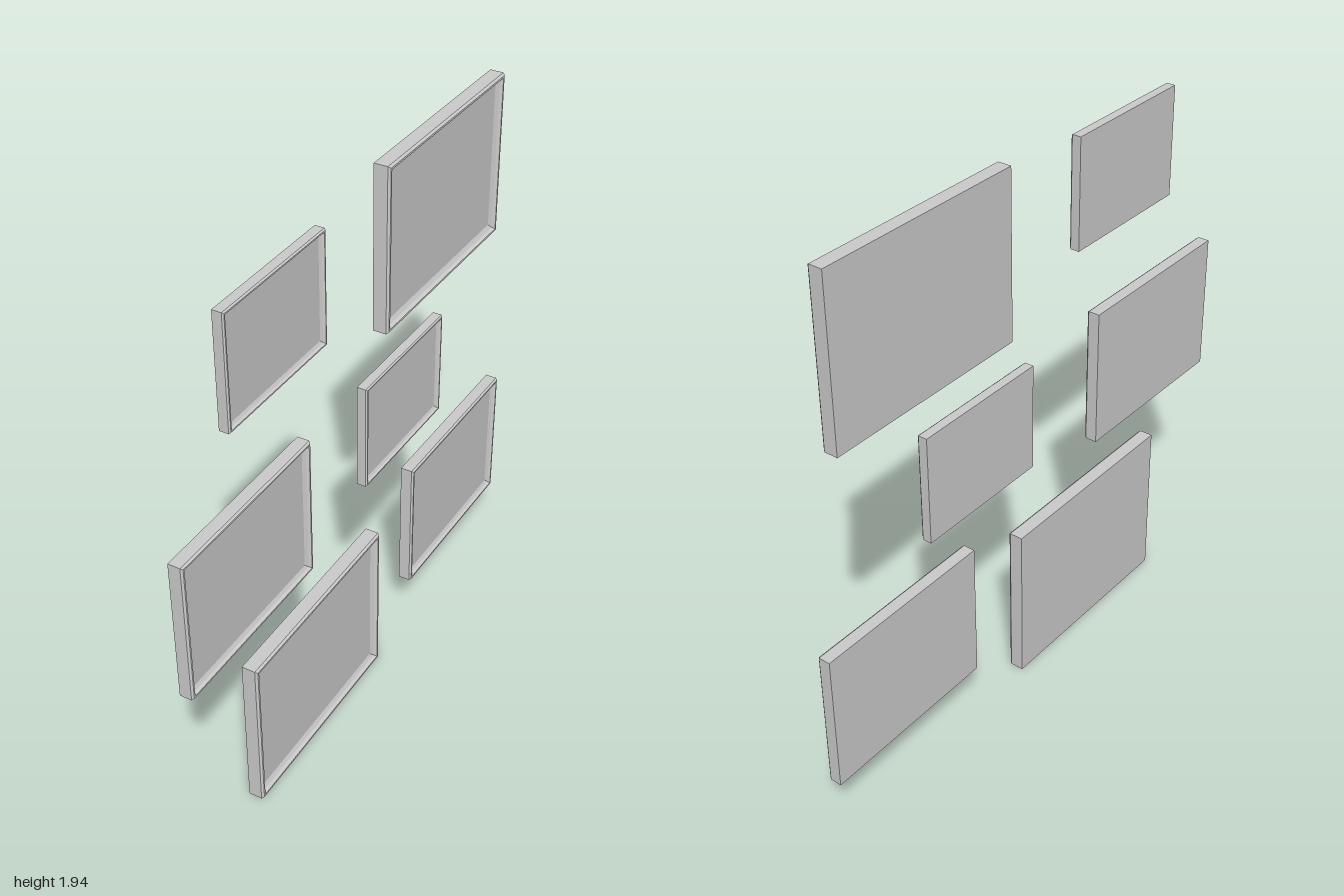
import * as THREE from 'three';

const WIDTH = 0.773, HEIGHT = 0.58;

// Moulding section from the back edge to the recessed panel: [inset, x]
const PROFILE = [
  [0, -0.0275],
  [0, 0.02],
  [0.006, 0.0275],
  [0.013, 0.0275],
  [0.019, 0.017],
  [0.033, 0.009],
];

// One rectangular loop of corners, counter-clockwise seen from +x
function loop([inset, x]) {
  const y = HEIGHT / 2 - inset, z = WIDTH / 2 - inset;
  return [[x, y, z], [x, -y, z], [x, -y, -z], [x, y, -z]];
}

function surface(quads) {
  const points = [];
  for (const [a, b, c, d] of quads) points.push(...a, ...b, ...c, ...a, ...c, ...d);
  const geometry = new THREE.BufferGeometry();
  geometry.setAttribute('position', new THREE.Float32BufferAttribute(points, 3));
  geometry.computeVertexNormals();
  return geometry;
}

export function createModel() {
  const model = new THREE.Group();
  model.name = 'wallFrames';
  const material = new THREE.MeshStandardMaterial({ color: 0xcccccc, flatShading: true });

  // Moulding swept around the rectangle, closed by a flat back
  const loops = PROFILE.map(loop);
  const sides = [];
  for (let r = 0; r < loops.length - 1; r++) {
    for (let i = 0; i < 4; i++) {
      const j = (i + 1) % 4;
      sides.push([loops[r][i], loops[r][j], loops[r + 1][j], loops[r + 1][i]]);
    }
  }
  const mouldingGeometry = surface([...sides, [...loops[0]].reverse()]);
  const panelGeometry = surface([loops[loops.length - 1]]);

  // Same frame in three sizes: [name, scale, centre y, centre z]
  const frames = [
    ['upperLargeFrame', 1, 1.65, -0.517],
    ['lowerLargeFrame', 1, 0.29, 0.296],
    ['frontMediumFrame', 0.865, 0.99, 0.666],
    ['backMediumFrame', 0.865, 0.431, -0.666],
    ['upperSmallFrame', 0.665, 1.711, 0.476],
    ['middleSmallFrame', 0.665, 1.022, -0.272],
  ];
  for (const [name, scale, y, z] of frames) {
    const frame = new THREE.Group();
    frame.name = name;
    const moulding = new THREE.Mesh(mouldingGeometry, material);
    moulding.name = 'moulding';
    const panel = new THREE.Mesh(panelGeometry, material);
    panel.name = 'picturePanel';
    frame.add(moulding, panel);
    frame.scale.setScalar(scale);
    frame.position.set(0, y, z);
    model.add(frame);
  }
  return model;
}
